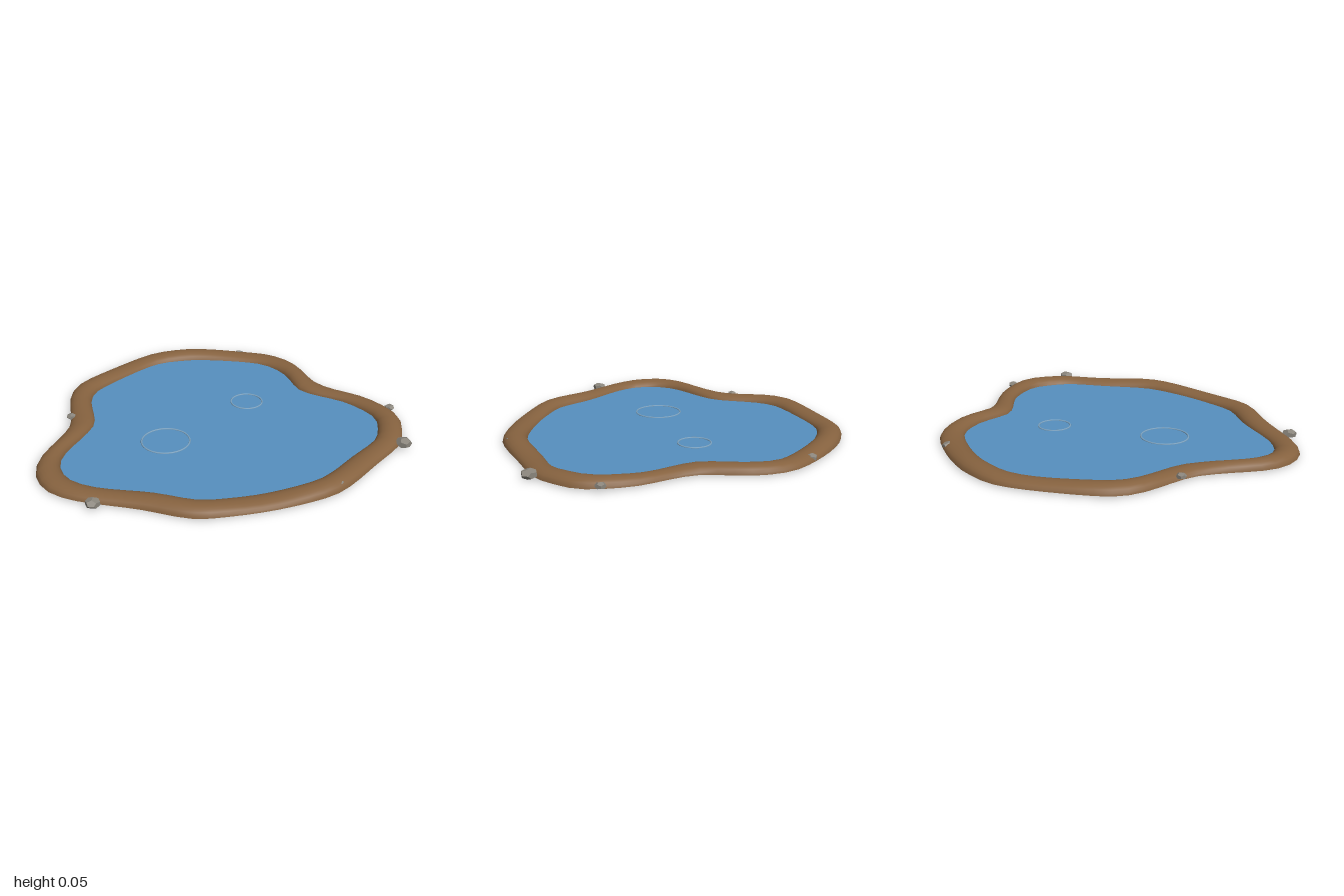
import * as THREE from 'three';

const mat = (color, extra = {}) => new THREE.MeshStandardMaterial({ color, ...extra });

// Outer shoreline as x, z pairs, running clockwise seen from above
const SHORE = [
  [-0.14, -0.92], [-0.04, -0.92], [0.17, -0.88], [0.43, -0.78], [0.52, -0.69], [0.58, -0.58],
  [0.64, -0.35], [0.7, -0.27], [0.88, -0.1], [0.98, 0.09], [0.99, 0.17], [0.96, 0.29],
  [0.91, 0.4], [0.72, 0.58], [0.52, 0.76], [0.42, 0.82], [0.14, 0.89], [-0.13, 0.91],
  [-0.27, 0.9], [-0.52, 0.78], [-0.83, 0.65], [-0.945, 0.555], [-1, 0.42], [-0.99, 0.29],
  [-0.865, 0.04], [-0.82, -0.08], [-0.81, -0.41], [-0.77, -0.52], [-0.69, -0.61],
  [-0.4, -0.84], [-0.28, -0.9],
];
const SEGMENTS = 72;
const BANK_WIDTH = 0.134;
const BASE_Y = 0.011;
const WATER_Y = 0.018;

function shorePoints() {
  const curve = new THREE.CatmullRomCurve3(
    SHORE.map(([x, z]) => new THREE.Vector3(x, 0, z)), true, 'centripetal');
  return curve.getSpacedPoints(SEGMENTS).slice(0, SEGMENTS);
}

// Move a shore point towards the middle of the pond
function inset(p, distance) {
  return p.clone().setLength(p.length() - distance);
}

// Hollow earth bank: a half-ellipse section swept round the shore
function bankGeometry(shore) {
  const steps = 10, positions = [], index = [];
  shore.forEach((p) => {
    const height = 0.04 + 0.006 * Math.sin(7 * Math.atan2(p.z, p.x) + 0.5);
    for (let j = 0; j <= steps; j++) {
      const a = (j / steps) * Math.PI;
      const q = inset(p, (BANK_WIDTH / 2) * (1 - Math.cos(a)));
      positions.push(q.x, BASE_Y + height * Math.sin(a), q.z);
    }
  });
  const row = steps + 1;
  for (let i = 0; i < SEGMENTS; i++) {
    for (let j = 0; j < steps; j++) {
      const a = i * row + j, b = ((i + 1) % SEGMENTS) * row + j;
      index.push(a, b, a + 1, b, b + 1, a + 1);
    }
  }
  const geometry = new THREE.BufferGeometry();
  geometry.setAttribute('position', new THREE.Float32BufferAttribute(positions, 3));
  geometry.setIndex(index);
  geometry.computeVertexNormals();
  return geometry;
}

export function createModel() {
  const group = new THREE.Group();
  const add = (name, geometry, material, x = 0, y = 0, z = 0) => {
    const mesh = new THREE.Mesh(geometry, material);
    mesh.name = name;
    mesh.position.set(x, y, z);
    group.add(mesh);
    return mesh;
  };
  const shore = shorePoints();

  add('bank', bankGeometry(shore), mat(0x86623f, { side: THREE.DoubleSide }));

  // Flat water sheet meeting the inner side of the bank
  const waterShape = new THREE.Shape(shore.map((p) => {
    const q = inset(p, BANK_WIDTH - 0.002);
    return new THREE.Vector2(q.x, -q.z);
  }));
  add('water', new THREE.ShapeGeometry(waterShape).rotateX(-Math.PI / 2),
    mat(0x5690bf, { side: THREE.DoubleSide }), 0, WATER_Y, 0);

  // Ripple rings: x, z, radius
  const rippleMaterial = mat(0x7fa6c4);
  [[-0.32, 0.18, 0.129], [0.19, -0.19, 0.089]].forEach(([x, z, r], i) => {
    add(`ripple${i + 1}`, new THREE.TorusGeometry(r, 0.005, 6, 36).rotateX(Math.PI / 2),
      rippleMaterial, x, WATER_Y + 0.001, z);
  });

  // Squashed faceted stones along the bank: x, y, z, radius
  const stoneMaterial = mat(0x8a857c, { flatShading: true });
  [
    [0.92, 0.031, 0.42, 0.044], [-0.73, 0.031, 0.72, 0.04], [0.26, 0.024, -0.82, 0.036],
    [-0.81, 0.032, -0.15, 0.028], [0.97, 0.032, 0.035, 0.029], [0.475, 0.034, 0.745, 0.027],
  ].forEach(([x, y, z, r], i) => {
    const stone = add(`stone${i + 1}`, new THREE.DodecahedronGeometry(r), stoneMaterial, x, y, z);
    stone.scale.y = 0.62;
    stone.rotation.y = i * 1.3;
  });

  return group;
}
